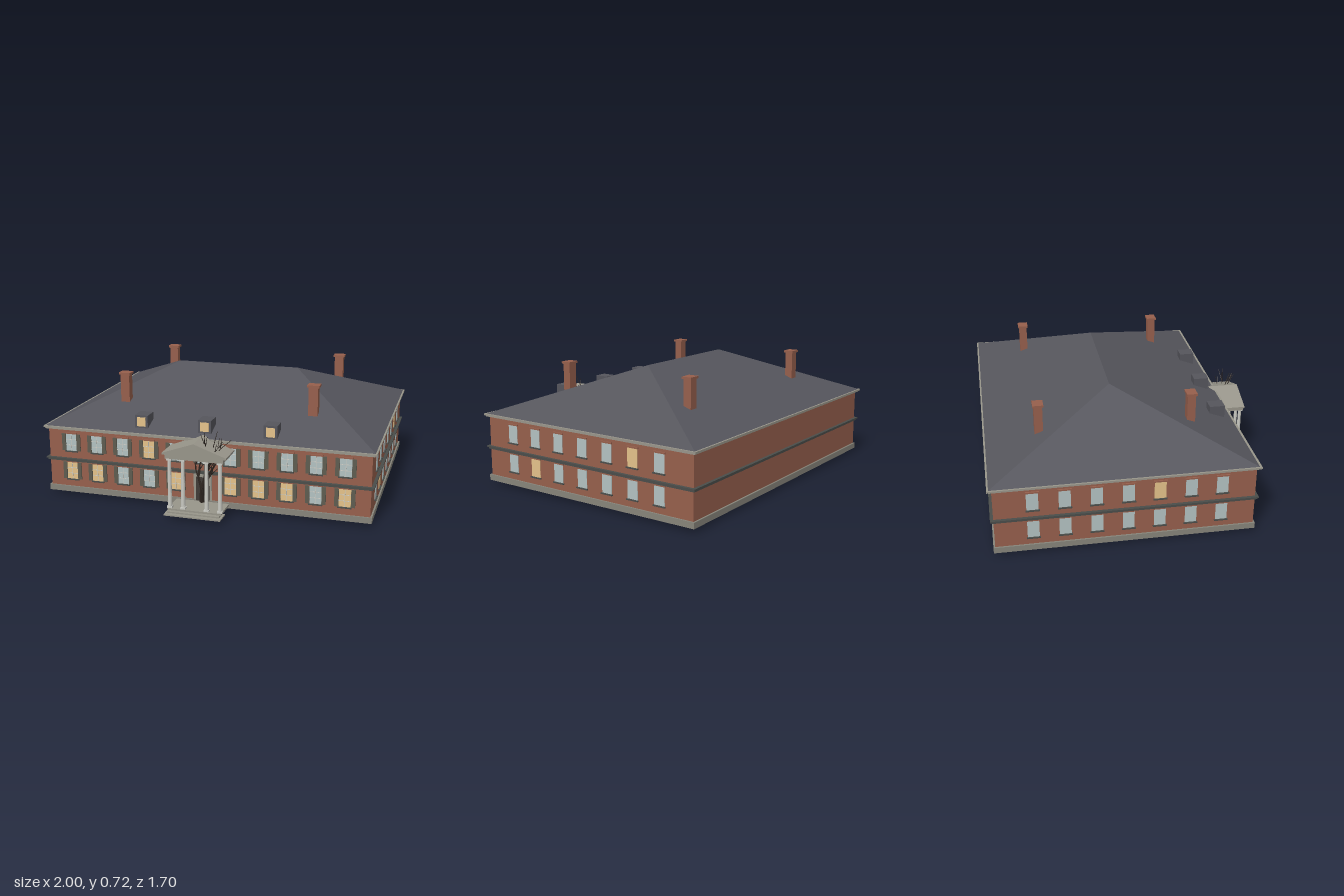
import * as THREE from 'three';
import { mergeGeometries } from 'three/addons/utils/BufferGeometryUtils.js';

const mat = (color) => new THREE.MeshStandardMaterial({ color, flatShading: true });
const M = {
  brick: mat(0x965f4c), stone: mat(0x98958a), roof: mat(0x55555c), shutter: mat(0x5e5c50),
  glass: mat(0xb3c2c2), lit: mat(0xe4c28a), dark: mat(0x4a4d4a), base: mat(0x86847a),
  white: mat(0xc9c9c2), bark: mat(0x2e2621), door: mat(0x3f3a36),
};

function add(parent, name, geo, material, x = 0, y = 0, z = 0) {
  const mesh = new THREE.Mesh(geo, material);
  mesh.name = name;
  mesh.position.set(x, y, z);
  parent.add(mesh);
  return mesh;
}

// Box given by its extents on each axis
function box(parent, name, material, [x0, x1], [y0, y1], [z0, z1]) {
  return add(parent, name, new THREE.BoxGeometry(x1 - x0, y1 - y0, z1 - z0), material,
    (x0 + x1) / 2, (y0 + y1) / 2, (z0 + z1) / 2);
}

// Hipped roof: rectangular eaves rising to a ridge along x
function hipRoof(hx, z0, z1, y0, ridgeX, ridgeZ, y1) {
  const a = [-hx, y0, z1], b = [hx, y0, z1], c = [hx, y0, z0], d = [-hx, y0, z0];
  const l = [-ridgeX, y1, ridgeZ], r = [ridgeX, y1, ridgeZ];
  const tris = [a, b, r, a, r, l, c, d, l, c, l, r, b, c, r, d, a, l, a, d, c, a, c, b];
  const geo = new THREE.BufferGeometry();
  geo.setAttribute('position', new THREE.Float32BufferAttribute(tris.flat(), 3));
  geo.computeVertexNormals();
  return geo;
}

// Window in its own frame: wall plane at z = 0, facing +z
function makeWindow(lit, w, h, detailed) {
  const g = new THREE.Group();
  g.name = 'window';
  box(g, 'pane', lit ? M.lit : M.glass, [-w / 2, w / 2], [0, h], [-0.004, 0.003]);
  box(g, 'sill', M.dark, [-w / 2 - 0.006, w / 2 + 0.006], [-0.007, 0], [-0.004, 0.011]);
  box(g, 'lintel', M.brick, [-w / 2 - 0.006, w / 2 + 0.006], [h, h + 0.009], [-0.004, 0.008]);
  if (detailed) {
    box(g, 'muntin', M.white, [-0.0015, 0.0015], [0, h], [0, 0.005]);
    for (const k of [1, 2])
      box(g, 'muntin', M.white, [-w / 2, w / 2], [h * k / 3 - 0.0015, h * k / 3 + 0.0015], [0, 0.005]);
    for (const s of [-1, 1]) {
      const x = s * (w / 2 + 0.013);
      box(g, 'shutter', M.shutter, [x - 0.012, x + 0.012], [0, h], [-0.004, 0.007]);
    }
  }
  return g;
}

function makeHouse() {
  const g = new THREE.Group();
  g.name = 'house';
  box(g, 'foundation', M.base, [-0.985, 0.985], [0.02, 0.055], [-0.835, 0.645]);
  box(g, 'walls', M.brick, [-0.975, 0.975], [0.055, 0.418], [-0.825, 0.635]);
  box(g, 'beltCourse', M.dark, [-0.985, 0.985], [0.215, 0.226], [-0.835, 0.645]);
  box(g, 'beltCap', M.dark, [-0.993, 0.993], [0.226, 0.234], [-0.843, 0.653]);
  box(g, 'cornice', M.stone, [-0.99, 0.99], [0.412, 0.42], [-0.84, 0.65]);
  box(g, 'corniceCap', M.stone, [-1, 1], [0.42, 0.43], [-0.85, 0.658]);
  add(g, 'roof', hipRoof(0.99, -0.84, 0.645, 0.43, 0.39, -0.1, 0.71), M.roof);

  // Chimneys
  for (const x of [-0.585, 0.585]) for (const z of [0.343, -0.535]) {
    box(g, 'chimney', M.brick, [x - 0.028, x + 0.028], [0.45, 0.708], [z - 0.024, z + 0.024]);
    box(g, 'chimneyCap', M.brick, [x - 0.036, x + 0.036], [0.705, 0.718], [z - 0.031, z + 0.031]);
  }
  // Box dormers
  for (const x of [-0.39, 0, 0.39]) {
    box(g, 'dormer', M.roof, [x - 0.04, x + 0.04], [0.44, 0.525], [0.505, 0.597]);
    box(g, 'dormerPane', M.lit, [x - 0.026, x + 0.026], [0.458, 0.513], [0.59, 0.6]);
  }
  // Front windows: '1' marks a lit one, '.' the doorway bay
  const rows = [['11001.11101', 0.102], ['00010000000', 0.28]];
  for (const [row, y] of rows) [...row].forEach((ch, i) => {
    if (ch === '.') return;
    const win = makeWindow(ch === '1', 0.068, 0.106, true);
    win.position.set((i - 5) * 0.166, y, 0.635);
    g.add(win);
  });
  // Side windows
  const sides = { 1: ['0100000', '0000010'], '-1': ['0000000', '0010000'] };
  for (const s of [1, -1]) sides[s].forEach((row, r) => [...row].forEach((ch, i) => {
    const win = makeWindow(ch === '1', 0.066, 0.106, false);
    win.position.set(s * 0.975, r ? 0.277 : 0.101, 0.443 - i * 0.1758);
    win.rotation.y = s * Math.PI / 2;
    g.add(win);
  }));
  // Front door
  box(g, 'doorFrame', M.stone, [-0.055, 0.055], [0.05, 0.212], [0.63, 0.642]);
  box(g, 'door', M.door, [-0.04, 0.04], [0.05, 0.195], [0.63, 0.646]);
  return g;
}

function makePortico() {
  const g = new THREE.Group();
  g.name = 'portico';
  box(g, 'platform', M.stone, [-0.16, 0.16], [0.036, 0.048], [0.63, 0.805]);
  box(g, 'platformBase', M.stone, [-0.14, 0.14], [0.02, 0.036], [0.63, 0.75]);
  box(g, 'upperStep', M.stone, [-0.155, 0.155], [0.03, 0.038], [0.75, 0.828]);
  box(g, 'lowerStep', M.stone, [-0.168, 0.168], [0.02, 0.028], [0.75, 0.85]);

  // Columns with base and capital
  for (const x of [-0.15, -0.07, 0.07, 0.15]) {
    box(g, 'columnBase', M.white, [x - 0.015, x + 0.015], [0.048, 0.058], [0.77, 0.8]);
    add(g, 'column', new THREE.CylinderGeometry(0.01, 0.0125, 0.278, 12), M.white, x, 0.197, 0.785);
    box(g, 'capital', M.white, [x - 0.015, x + 0.015], [0.335, 0.346], [0.77, 0.8]);
  }
  box(g, 'entablature', M.stone, [-0.172, 0.172], [0.345, 0.38], [0.632, 0.8]);

  // Gabled roof with pediment
  const gable = new THREE.Shape([[-0.19, 0.368], [0.19, 0.368], [0.19, 0.378], [0, 0.445], [-0.19, 0.378]]
    .map(([x, y]) => new THREE.Vector2(x, y)));
  add(g, 'pediment', new THREE.ExtrudeGeometry(gable, { depth: 0.188, bevelEnabled: false }),
    M.stone, 0, 0, 0.615);
  return g;
}

// Bare tree: tapering branches grown recursively, with spreading roots
function makeTree() {
  let seed = 7;
  const rnd = () => (seed = (seed * 16807) % 2147483647) / 2147483647;
  const parts = [], up = new THREE.Vector3(0, 1, 0);
  const limb = (a, b, ra, rb) => {
    const dir = b.clone().sub(a);
    const geo = new THREE.CylinderGeometry(rb, ra, dir.length(), 5);
    geo.applyQuaternion(new THREE.Quaternion().setFromUnitVectors(up, dir.normalize()));
    geo.translate(...a.clone().add(b).multiplyScalar(0.5).toArray());
    parts.push(geo);
  };
  const grow = (p, dir, len, r, depth) => {
    const end = p.clone().addScaledVector(dir, len);
    end.z = Math.max(end.z, 0.652);
    limb(p, end, r, r * 0.7);
    if (depth === 0) return;
    for (let i = 0; i < (depth > 2 ? 3 : 2); i++) {
      const next = dir.clone().add(new THREE.Vector3(rnd() - 0.45, rnd() * 0.5, rnd() - 0.5)).normalize();
      grow(end, next, len * (0.65 + rnd() * 0.25), r * 0.6, depth - 1);
    }
  };
  const root = new THREE.Vector3(0, 0.04, 0.655);
  grow(root, new THREE.Vector3(0.06, 1, 0.22).normalize(), 0.1, 0.016, 4);
  grow(new THREE.Vector3(0.01, 0.1, 0.67), new THREE.Vector3(0.2, 1, 0.28).normalize(), 0.14, 0.01, 3);
  // Tall leader
  const leader = new THREE.CatmullRomCurve3([[0.01, 0.15, 0.68], [0.05, 0.27, 0.71], [0.09, 0.4, 0.73], [0.12, 0.51, 0.735]]
    .map((p) => new THREE.Vector3(...p))).getPoints(8);
  for (let i = 0; i < 8; i++) limb(leader[i], leader[i + 1], 0.006 - i * 0.0006, 0.0054 - i * 0.0006);
  // Roots
  for (let i = 0; i < 7; i++) {
    const a = i / 7 * Math.PI * 2;
    limb(root, new THREE.Vector3(Math.cos(a) * 0.045, 0.005, 0.645 + Math.sin(a) * 0.045), 0.013, 0.005);
  }
  const geo = mergeGeometries(parts);
  geo.computeBoundingBox();
  geo.translate(0, -geo.boundingBox.min.y, 0);
  return new THREE.Mesh(geo, M.bark);
}

export function createModel() {
  const model = new THREE.Group();
  model.name = 'manor';
  const tree = makeTree();
  tree.name = 'bareTree';
  model.add(makeHouse(), makePortico(), tree);
  return model;
}
